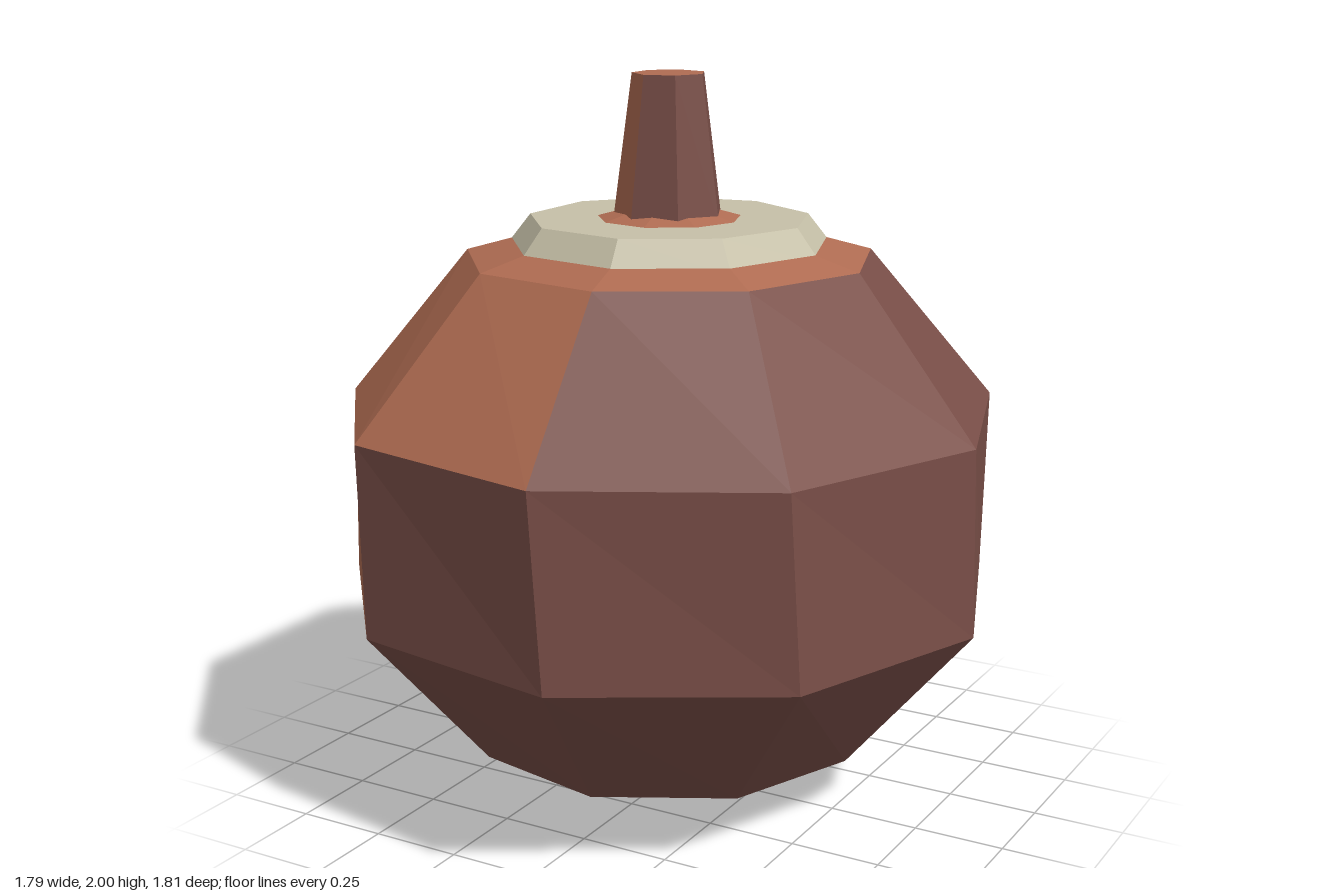
import * as THREE from 'three';

const material = (name, color) => {
  const m = new THREE.MeshStandardMaterial({ color });
  m.name = name;
  return m;
};

// Faceted solid from rings [radius, y, twist in degrees], listed bottom to top.
// pick(row, column) gives the index of the material for each facet.
function faceted(name, sides, rings, materials, pick) {
  const buckets = materials.map(() => []);
  const corner = ([r, y, twist = 0], i) => {
    const a = (i / sides) * Math.PI * 2 + THREE.MathUtils.degToRad(twist);
    return [r * Math.cos(a), y, r * Math.sin(a)];
  };
  for (let row = 0; row < rings.length - 1; row++) {
    const low = rings[row], high = rings[row + 1];
    for (let i = 0; i < sides; i++) {
      const out = buckets[pick(row, i)];
      const a = corner(low, i), b = corner(low, i + 1);
      const c = corner(high, i + 1), d = corner(high, i);
      if (high[0] > 0) out.push(...a, ...d, ...c);
      if (low[0] > 0) out.push(...a, ...(high[0] > 0 ? c : d), ...b);
    }
  }
  const geometry = new THREE.BufferGeometry();
  geometry.setAttribute('position', new THREE.Float32BufferAttribute(buckets.flat(), 3));
  let start = 0;
  buckets.forEach((bucket, index) => {
    geometry.addGroup(start, bucket.length / 3, index);
    start += bucket.length / 3;
  });
  geometry.computeVertexNormals();
  const mesh = new THREE.Mesh(geometry, materials);
  mesh.name = name;
  return mesh;
}

export function createModel() {
  const rust = material('rust brown', 0xb06c52);
  const plum = material('plum brown', 0x7a4f48);
  const cream = material('cream', 0xc6c0a8);

  const model = new THREE.Group();
  model.name = 'ornament';
  model.position.x = -0.02;

  // Nine-sided body: the plum patch widens towards the base, centred on facet 0
  const patchReach = [9, 3, 2, 1, -1];
  const body = faceted('body', 9, [
    [0, 0], [0.565, 0.16, 2], [0.915, 0.577, 0],
    [0.915, 1.095, 2], [0.565, 1.512, 0], [0, 1.67],
  ], [rust, plum], (row, i) => (Math.min(i, 9 - i) <= patchReach[row] ? 1 : 0));

  // Bevelled collar, with the tip of the body showing through its middle
  const collar = faceted('collar', 9, [
    [0, 1.53], [0.452, 1.53], [0.385, 1.615], [0, 1.615],
  ], [cream], () => 0);

  // Seven-sided tapering stem, plum on three sides
  const stem = faceted('stem', 7, [
    [0, 1.6], [0.153, 1.6], [0.1, 2], [0, 2],
  ], [rust, plum], (row, i) => (row === 1 && [6, 0, 1].includes(i) ? 1 : 0));

  model.add(body, collar, stem);
  const root = new THREE.Group();
  root.add(model);
  return root;
}
